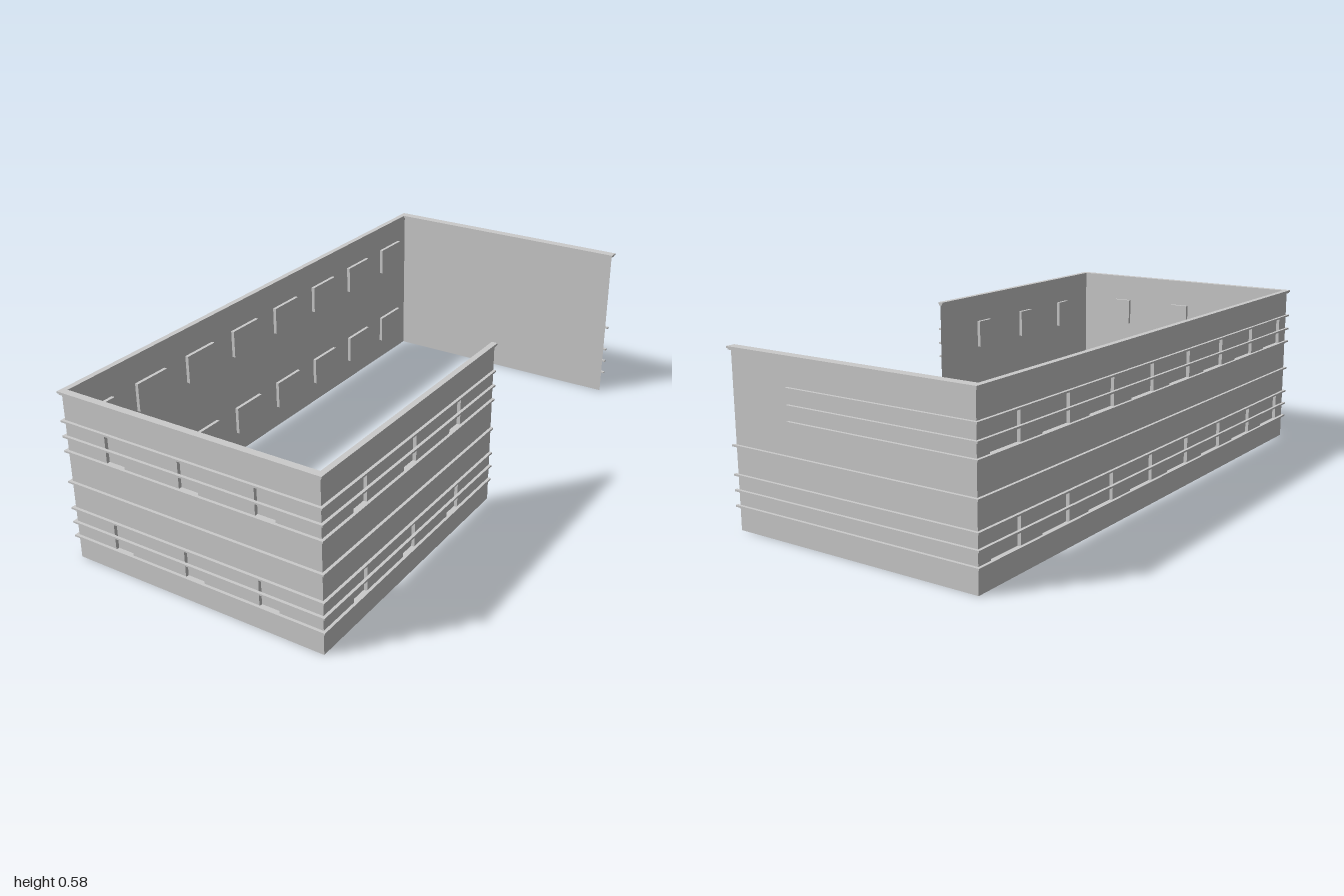
import * as THREE from 'three';

const H = 0.575;          // wall height
const OUT = 0.01;         // projection of the bands and cornice
const DEPTH = 0.012;      // window recess
const LOWER = [0.08, 0.13, 0.18, 0.273];
const UPPER = [0.38, 0.43, 0.482];
const ROWS = [[0.08, 0.18], [0.382, 0.48]];

const material = new THREE.MeshStandardMaterial({ color: 0xcccccc, side: THREE.DoubleSide, flatShading: true });

function add(parent, name, geometry, x = 0, y = 0, z = 0) {
  const mesh = new THREE.Mesh(geometry, material);
  mesh.name = name;
  mesh.position.set(x, y, z);
  parent.add(mesh);
}

// Box given by its limits along the wall, in height and in depth
function bar(parent, name, u0, u1, y0, y1, z0, z1) {
  add(parent, name, new THREE.BoxGeometry(u1 - u0, y1 - y0, z1 - z0),
    (u0 + u1) / 2, (y0 + y1) / 2, (z0 + z1) / 2);
}

// Window recess: a shallow box open towards the outside
function recess(width, height) {
  const box = new THREE.BoxGeometry(width, height, DEPTH);
  const index = Array.from(box.index.array);
  index.splice(24, 6);
  box.setIndex(index);
  return box;
}

// One wall in its own frame: u along the wall, outside towards +z
function wall({ name, u0, u1, ext0 = 0, ext1 = 0, windows = [], width = 0.07, upperStart = u0 - ext0, inner = OUT }) {
  const group = new THREE.Group();
  group.name = name;

  // Thin wall sheet with window openings
  const shape = new THREE.Shape([[u0, 0], [u1, 0], [u1, H], [u0, H]].map(p => new THREE.Vector2(...p)));
  for (const c of windows) {
    for (const [y0, y1] of ROWS) {
      const a = c - width / 2, b = c + width / 2;
      shape.holes.push(new THREE.Path([[a, y0], [a, y1], [b, y1], [b, y0]].map(p => new THREE.Vector2(...p))));
      add(group, 'windowRecess', recess(width, y1 - y0), c, (y0 + y1) / 2, -DEPTH / 2);
    }
  }
  add(group, 'wallSheet', new THREE.ShapeGeometry(shape));

  // Horizontal bands
  for (const y of LOWER) bar(group, 'band', u0 - ext0, u1 + ext1, y - 0.003, y + 0.003, 0, OUT);
  for (const y of UPPER) bar(group, 'band', upperStart, u1 + ext1, y - 0.003, y + 0.003, 0, OUT);

  // Two-step cornice
  bar(group, 'corniceLower', u0 - ext0 * 0.7, u1 + ext1 * 0.7, 0.57, 0.575, -inner * 0.7, OUT * 0.7);
  bar(group, 'corniceTop', u0 - ext0, u1 + ext1, 0.575, 0.581, -inner, OUT);
  return group;
}

export function createModel() {
  const model = new THREE.Group();
  model.name = 'buildingWalls';

  const front = wall({ name: 'frontWall', u0: -0.46, u1: 0.46, ext0: OUT, ext1: OUT, windows: [-0.271, 0.004, 0.274], inner: 0.015 });
  front.position.z = 0.99;

  // Half-length wall, local u runs towards -z
  const left = wall({ name: 'shortSideWall', u0: -0.99, u1: 0, windows: [-0.8, -0.528, -0.255] });
  left.rotation.y = Math.PI / 2;
  left.position.x = 0.46;

  // Full-length wall, local u runs towards +z
  const centres = Array.from({ length: 8 }, (_, i) => (i - 3.5) * 0.246);
  const right = wall({ name: 'longSideWall', u0: -0.988, u1: 0.99, windows: centres, width: 0.14 });
  right.rotation.y = -Math.PI / 2;
  right.position.x = -0.46;

  // Windowless wall, local u runs towards -x; its upper bands stop short
  const back = wall({ name: 'backWall', u0: -0.46, u1: 0.46, ext0: OUT, ext1: OUT, upperStart: -0.23, inner: 0.023 });
  back.rotation.y = Math.PI;
  back.position.z = -0.988;

  model.add(front, left, right, back);
  return model;
}
